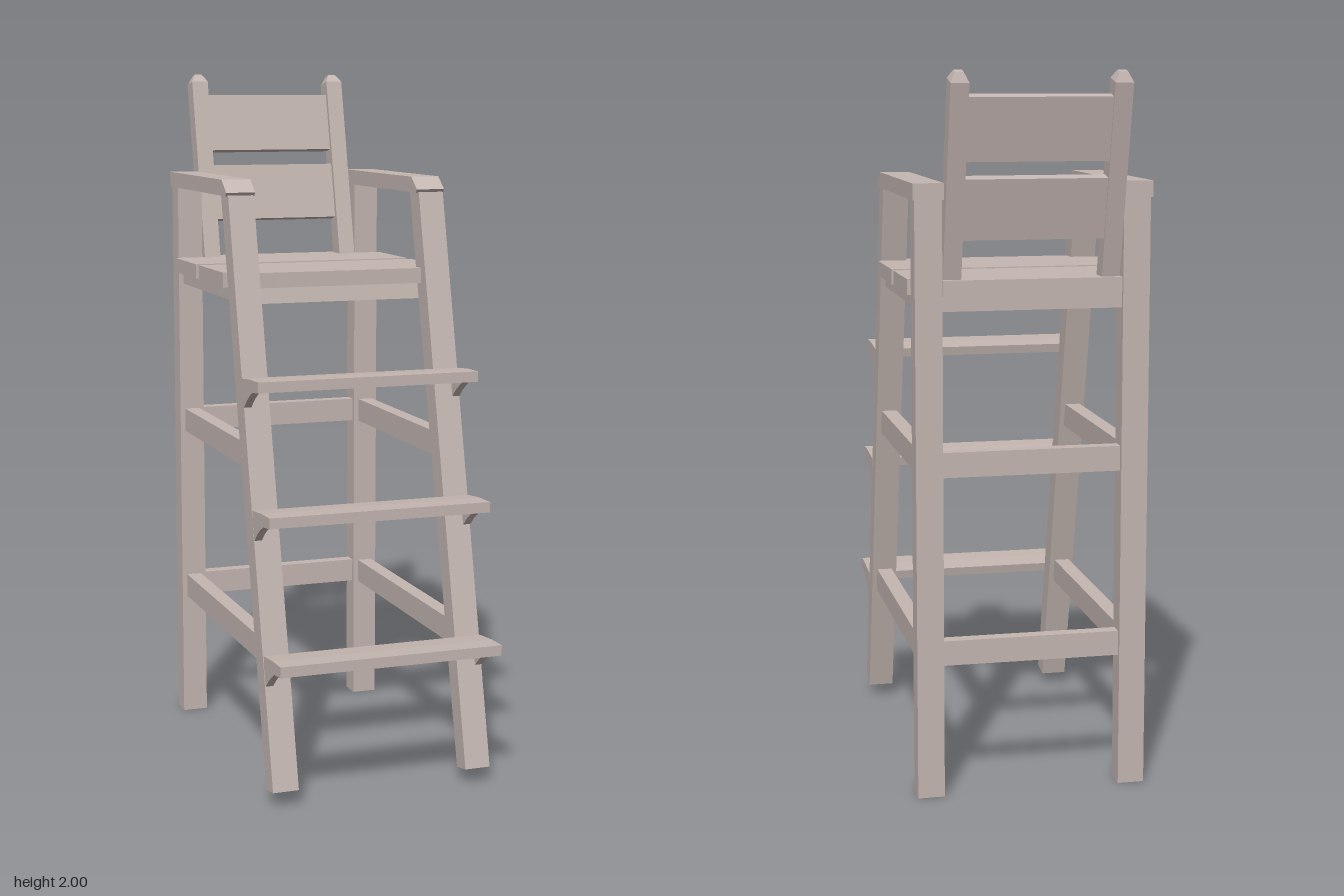
import * as THREE from 'three';

const wood = new THREE.MeshStandardMaterial({ color: 0xc4b6b1 });
wood.name = 'pale wood';

function add(parent, name, geometry) {
  const mesh = new THREE.Mesh(geometry, wood);
  mesh.name = name;
  parent.add(mesh);
  return mesh;
}

// Box given by its limits on each axis
function block(parent, name, x0, x1, y0, y1, z0, z1) {
  const g = new THREE.BoxGeometry(x1 - x0, y1 - y0, z1 - z0);
  g.translate((x0 + x1) / 2, (y0 + y1) / 2, (z0 + z1) / 2);
  return add(parent, name, g);
}

// Side profile of [z, y] points, extruded from x0 to x1
function prism(parent, name, points, x0, x1) {
  const shape = new THREE.Shape(points.map(([z, y]) => new THREE.Vector2(z, y)));
  const g = new THREE.ExtrudeGeometry(shape, { depth: x1 - x0, bevelEnabled: false });
  g.rotateY(-Math.PI / 2).translate(x1, 0, 0);
  return add(parent, name, g);
}

// Plan outline given for x > 0 as [x, z], mirrored and extruded upward
function board(parent, name, half, y0, y1) {
  const outline = [...half, ...half.slice().reverse().map(([x, z]) => [-x, z])];
  const shape = new THREE.Shape(outline.map(([x, z]) => new THREE.Vector2(x, -z)));
  const g = new THREE.ExtrudeGeometry(shape, { depth: y1 - y0, bevelEnabled: false });
  g.rotateX(-Math.PI / 2).translate(0, y0, 0);
  return add(parent, name, g);
}

// Square post with a chamfered tip, standing on its origin
function tippedPost(width, height, depth, tip) {
  let g = new THREE.BoxGeometry(width, height, depth, 1, 2, 1).translate(0, height / 2, 0);
  const p = g.attributes.position;
  for (let i = 0; i < p.count; i++) {
    const y = p.getY(i);
    if (y > height * 0.75) p.setXYZ(i, p.getX(i) * 0.45, y, p.getZ(i) * 0.45);
    else if (y > height * 0.25) p.setY(i, height - tip);
  }
  g = g.toNonIndexed();
  g.computeVertexNormals();
  return g;
}

export function createModel() {
  const chair = new THREE.Group();
  chair.name = 'tallLadderChair';

  // Legs, armrests and side rails
  for (const s of [-1, 1]) {
    const span = (a, b) => (s > 0 ? [a, b] : [-b, -a]);
    const leg = span(0.25, 0.325);
    const rail = span(0.265, 0.31);
    prism(chair, 'frontLeg', [[0.51, 0.047], [0.122, 1.662], [0.052, 1.662], [0.449, 0.035]], ...leg);
    block(chair, 'rearLeg', ...leg, 0, 1.66, -0.48, -0.415);
    prism(chair, 'armrest',
      [[0.12, 1.67], [0.075, 1.705], [-0.485, 1.705], [-0.485, 1.66], [0.112, 1.66]],
      ...span(0.245, 0.33));
    prism(chair, 'upperSideRail', [[0.25, 0.905], [0.235, 0.975], [-0.42, 0.975], [-0.42, 0.905]], ...rail);
    prism(chair, 'lowerSideRail', [[0.38, 0.375], [0.365, 0.445], [-0.42, 0.445], [-0.42, 0.375]], ...rail);
    block(chair, 'seatSideRail', ...rail, 1.365, 1.402, -0.42, 0.12);
  }

  // Cross bars
  block(chair, 'upperRearRail', -0.255, 0.255, 0.905, 0.975, -0.467, -0.428);
  block(chair, 'lowerRearRail', -0.255, 0.255, 0.375, 0.445, -0.467, -0.428);
  block(chair, 'seatRearRail', -0.255, 0.255, 1.36, 1.402, -0.467, -0.428);
  prism(chair, 'seatFrontRail', [[0.125, 1.355], [0.115, 1.402], [0.06, 1.402], [0.072, 1.355]], -0.255, 0.255);

  // Seat boards, notched around the legs
  board(chair, 'frontSeatBoard', [[0.335, -0.15], [0.335, 0.098], [0.248, 0.098], [0.248, 0.148]], 1.402, 1.445);
  board(chair, 'rearSeatBoard', [[0.248, -0.478], [0.248, -0.417], [0.335, -0.417], [0.335, -0.183]], 1.402, 1.445);

  // Steps with a small bracket at each end: [back z, front z, top y]
  for (const [b, f, t] of [[0.24, 0.393, 1.172], [0.333, 0.488, 0.815], [0.43, 0.58, 0.425]]) {
    prism(chair, 'step',
      [[b, t - 0.01], [b + 0.006, t - 0.036], [f - 0.055, t - 0.036], [f, t - 0.03], [f, t], [b + 0.08, t - 0.002]],
      -0.325, 0.325);
    for (const x of [-0.325, 0.303]) {
      prism(chair, 'stepBracket',
        [[b, t - 0.03], [b + 0.018, t - 0.092], [b + 0.045, t - 0.068], [b + 0.072, t - 0.05], [f - 0.055, t - 0.036], [f - 0.055, t - 0.03]],
        x, x + 0.022);
    }
  }

  // Leaning backrest
  const back = new THREE.Group();
  back.name = 'backrest';
  back.position.set(0, 1.42, -0.425);
  back.rotation.x = -0.23;
  for (const s of [-1, 1]) {
    add(back, 'backrestPost', tippedPost(0.05, 0.593, 0.056, 0.025)).position.x = s * 0.22;
  }
  block(back, 'lowerBackSlat', -0.197, 0.197, 0.139, 0.308, -0.021, 0.014);
  block(back, 'upperBackSlat', -0.197, 0.197, 0.355, 0.529, -0.021, 0.014);
  chair.add(back);

  return chair;
}
